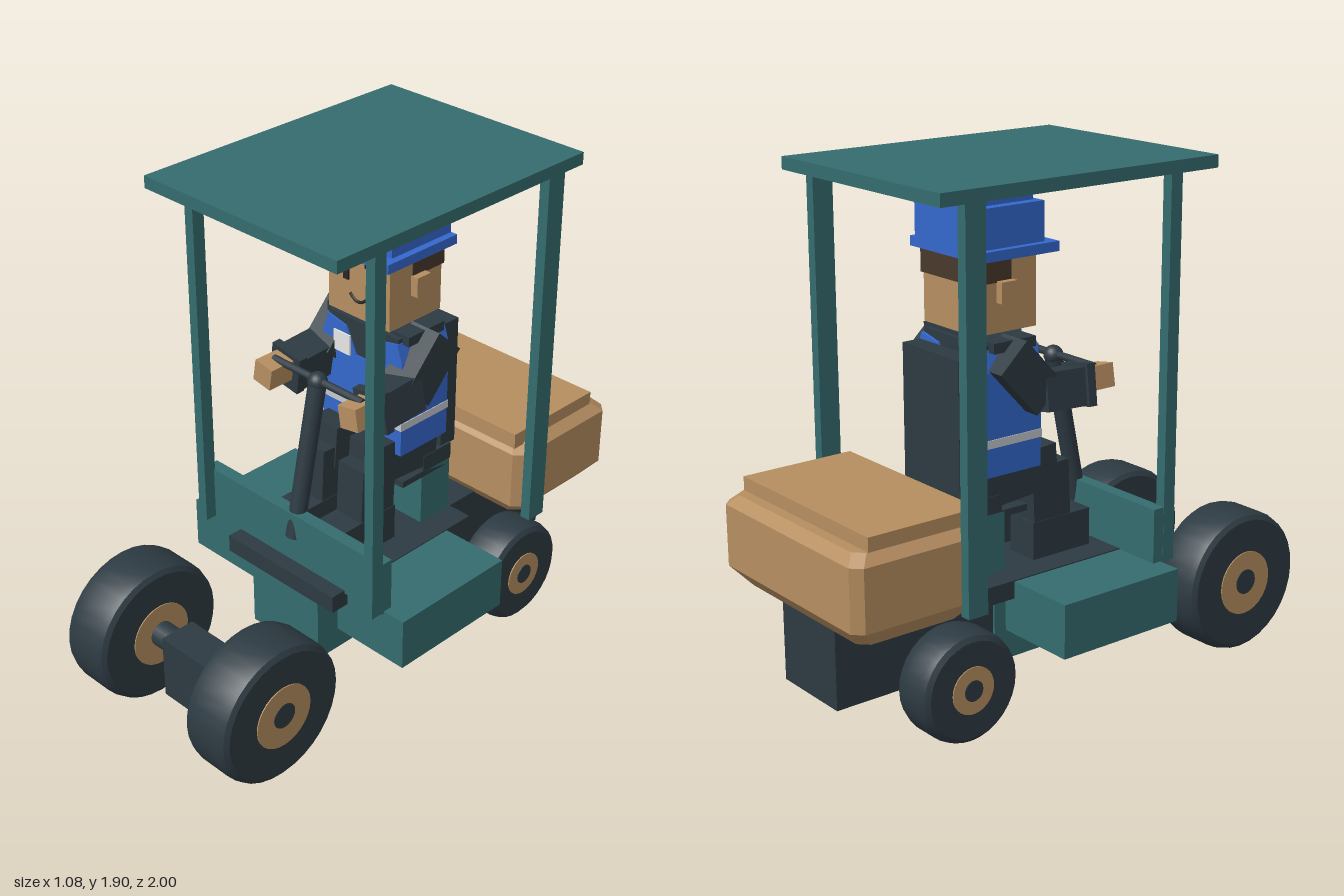
import * as THREE from 'three';
import { toCreasedNormals } from 'three/addons/utils/BufferGeometryUtils.js';

const mat = (name, color) => {
  const m = new THREE.MeshStandardMaterial({ color });
  m.name = name;
  return m;
};

export function createModel() {
  const model = new THREE.Group();
  model.name = 'tractorWithDriver';
  const teal = mat('teal paint', 0x356c6e), dark = mat('charcoal', 0x2d3a42);
  const tan = mat('tan', 0xb68e60), blue = mat('blue', 0x3468cc);
  const brown = mat('hair brown', 0x4a382c), silver = mat('reflective silver', 0xc4c8cc);
  const white = mat('badge white', 0xeeeeee), ink = mat('face ink', 0x2a2624);

  const add = (name, geo, m, parent = model) => {
    const mesh = new THREE.Mesh(geo, m);
    mesh.name = name;
    parent.add(mesh);
    return mesh;
  };
  // Box from its min and max along each axis
  const box = (name, m, x0, x1, y0, y1, z0, z1) => {
    const mesh = add(name, new THREE.BoxGeometry(x1 - x0, y1 - y0, z1 - z0), m);
    mesh.position.set((x0 + x1) / 2, (y0 + y1) / 2, (z0 + z1) / 2);
    return mesh;
  };
  const pair = (name, m, x0, x1, ...rest) => {
    box(name + 'Left', m, x0, x1, ...rest);
    box(name + 'Right', m, -x1, -x0, ...rest);
  };
  // Cylinder between two points
  const rod = (name, m, r, a, b, sides = 20) => {
    const p = new THREE.Vector3(...a), q = new THREE.Vector3(...b), d = q.clone().sub(p);
    const mesh = add(name, new THREE.CylinderGeometry(r, r, d.length(), sides), m);
    mesh.position.copy(p.add(q).multiplyScalar(0.5));
    mesh.quaternion.setFromUnitVectors(new THREE.Vector3(0, 1, 0), d.normalize());
    return mesh;
  };

  // Canopy and posts
  box('roof', teal, -0.45, 0.45, 1.865, 1.91, -0.68, 0.495);
  pair('frontPost', teal, 0.41, 0.45, 0.48, 1.865, 0.28, 0.33);
  pair('rearPost', teal, 0.41, 0.45, 0.49, 1.865, -0.585, -0.505);

  // Chassis
  box('frontPanel', teal, -0.449, 0.449, 0.475, 0.685, 0.235, 0.285);
  box('floorPlate', dark, -0.27, 0.27, 0.42, 0.487, -0.375, 0.345);
  box('chassis', teal, -0.17, 0.17, 0.145, 0.48, -0.26, 0.32);
  pair('sideTank', teal, 0.22, 0.54, 0.285, 0.483, -0.25, 0.27);
  box('rearBody', dark, -0.16, 0.16, 0.155, 0.475, -0.92, -0.26);
  box('hitchBracket', teal, -0.09, 0.09, 0.085, 0.15, 0.235, 0.3);
  box('drawbarPlate', dark, -0.09, 0.09, 0.05, 0.086, 0.28, 0.74);
  box('axleHousing', dark, -0.135, 0.135, 0.08, 0.33, 0.65, 0.79);

  // Wheels: chamfered tyre, hub disc and axle running through
  const wheel = (name, x, y, z, r, halfW, hubR) => {
    const g = new THREE.Group();
    g.name = name;
    g.position.set(x, y, z);
    g.rotation.z = -Math.PI / 2;
    model.add(g);
    const c = 0.025;
    const profile = [[0, -halfW], [r - c, -halfW], [r - 0.008, -halfW + c * 0.5], [r, -halfW + c * 1.6],
      [r, halfW - c * 1.6], [r - 0.008, halfW - c * 0.5], [r - c, halfW], [0, halfW]]
      .map(p => new THREE.Vector2(...p));
    add('tyre', toCreasedNormals(new THREE.LatheGeometry(profile, 32), 0.35), dark, g);
    add('hub', new THREE.CylinderGeometry(hubR, hubR, halfW * 2 + 0.008, 28), tan, g);
  };
  for (const s of [1, -1]) {
    const side = s > 0 ? 'Left' : 'Right';
    wheel('frontWheel' + side, s * 0.32, 0.275, 0.73, 0.27, 0.104, 0.123);
    wheel('rearWheel' + side, s * 0.325, 0.21, -0.54, 0.2, 0.085, 0.086);
  }
  rod('frontAxle', dark, 0.048, [-0.431, 0.28, 0.73], [0.431, 0.28, 0.73]);
  rod('rearAxle', dark, 0.038, [-0.417, 0.21, -0.54], [0.417, 0.21, -0.54]);

  // Rear hood: stacked octagonal sections, chamfered at top and bottom
  const sections = [[0.46, 0.06], [0.53, 0], [0.755, 0], [0.79, 0.035]];
  const zc = -0.74, pos = [], idx = [];
  for (const [y, inset] of sections) {
    const w = 0.412 - inset, d = 0.26 - inset, c = 0.035;
    for (const [x, z] of [[w, d - c], [w, c - d], [w - c, -d], [c - w, -d],
      [-w, c - d], [-w, d - c], [c - w, d], [w - c, d]]) pos.push(x, y, zc + z);
  }
  for (let i = 0; i < 3; i++) for (let j = 0; j < 8; j++) {
    const a = i * 8 + j, b = i * 8 + (j + 1) % 8;
    idx.push(a, b, b + 8, a, b + 8, a + 8);
  }
  for (let j = 1; j < 7; j++) idx.push(0, j + 1, j, 24, 24 + j, 25 + j);
  const hood = new THREE.BufferGeometry();
  hood.setAttribute('position', new THREE.Float32BufferAttribute(pos, 3));
  hood.setIndex(idx);
  const hoodFlat = hood.toNonIndexed();
  hoodFlat.computeVertexNormals();
  add('rearHood', hoodFlat, tan);
  box('hoodLid', tan, -0.378, 0.378, 0.78, 0.84, -0.925, -0.487);

  // Seat
  box('seatBase', teal, -0.17, 0.17, 0.48, 0.705, -0.365, -0.215);
  box('seatPan', dark, -0.17, 0.17, 0.685, 0.71, -0.365, -0.115);
  box('seatCushion', dark, -0.17, 0.17, 0.705, 0.77, -0.37, -0.225);
  box('seatBack', dark, -0.16, 0.16, 0.765, 1.275, -0.4, -0.325);

  // Steering column and handlebar
  rod('steeringColumn', dark, 0.033, [0, 0.58, 0.268], [0, 1.17, 0.145]);
  add('columnCap', new THREE.SphereGeometry(0.036, 20, 12), dark).position.set(0, 1.17, 0.145);
  rod('handlebar', dark, 0.014, [-0.22, 1.175, 0.145], [0.22, 1.175, 0.145], 12);

  // Driver torso: vest cut with a neckline over a dark shirt
  const vest = new THREE.Shape([[-0.195, 0.85], [0.195, 0.85], [0.195, 1.22], [0.17, 1.295],
    [0.08, 1.275], [0.03, 1.175], [-0.03, 1.175], [-0.08, 1.275], [-0.17, 1.295], [-0.195, 1.22]]
    .map(p => new THREE.Vector2(...p)));
  add('vest', new THREE.ExtrudeGeometry(vest, { depth: 0.24, bevelEnabled: false }), blue).position.z = -0.313;
  box('shirt', dark, -0.17, 0.17, 1.14, 1.31, -0.3, -0.08);
  box('shoulderYoke', dark, -0.2, 0.2, 1.285, 1.322, -0.28, -0.1);
  box('reflectiveBand', silver, -0.198, 0.198, 0.955, 0.985, -0.316, -0.07);
  box('badge', white, -0.135, -0.055, 1.165, 1.245, -0.073, -0.067);

  // Arms and legs
  for (const s of [1, -1]) {
    const side = s > 0 ? 'Left' : 'Right';
    const limb = (name, m, size, x, y, z, rx = 0, rz = 0) => {
      const mesh = add(name + side, new THREE.BoxGeometry(...size), m);
      mesh.position.set(s * x, y, z);
      mesh.rotation.set(rx, 0, s * rz);
    };
    limb('upperArm', dark, [0.13, 0.23, 0.15], 0.196, 1.195, -0.165, -0.75);
    limb('forearm', dark, [0.125, 0.135, 0.2], 0.208, 1.12, -0.005, 0.05, 0.17);
    limb('cuff', dark, [0.14, 0.15, 0.035], 0.212, 1.12, 0.085, 0.05, 0.17);
    limb('hand', tan, [0.085, 0.085, 0.12], 0.212, 1.135, 0.15, 0, 0.17);
    limb('thigh', dark, [0.135, 0.16, 0.32], 0.1, 0.815, -0.135, -0.08);
    limb('shin', dark, [0.125, 0.24, 0.165], 0.1, 0.71, 0.005, -0.05);
    limb('boot', dark, [0.13, 0.14, 0.26], 0.1, 0.557, 0.05);
  }

  // Head and face
  box('neck', tan, -0.06, 0.06, 1.3, 1.345, -0.245, -0.135);
  box('head', tan, -0.147, 0.147, 1.34, 1.62, -0.315, -0.057);
  pair('ear', tan, 0.145, 0.178, 1.445, 1.52, -0.228, -0.162);
  box('hair', brown, -0.151, 0.151, 1.515, 1.61, -0.325, -0.167);
  pair('eye', ink, 0.047, 0.072, 1.475, 1.52, -0.058, -0.051);
  pair('eyebrow', ink, 0.033, 0.09, 1.547, 1.561, -0.058, -0.051);
  const smile = new THREE.QuadraticBezierCurve3(new THREE.Vector3(-0.04, 1.428, -0.055),
    new THREE.Vector3(0, 1.382, -0.055), new THREE.Vector3(0.04, 1.428, -0.055));
  add('smile', new THREE.TubeGeometry(smile, 12, 0.006, 6), ink);

  // Cap
  box('capBrim', blue, -0.197, 0.197, 1.6, 1.635, -0.335, 0.005);
  box('capCrown', blue, -0.17, 0.17, 1.63, 1.775, -0.333, -0.04);
  box('capTop', blue, -0.133, 0.133, 1.77, 1.797, -0.325, -0.06);
  box('capRidge', blue, -0.05, 0.05, 1.79, 1.812, -0.32, -0.065);

  return model;
}
